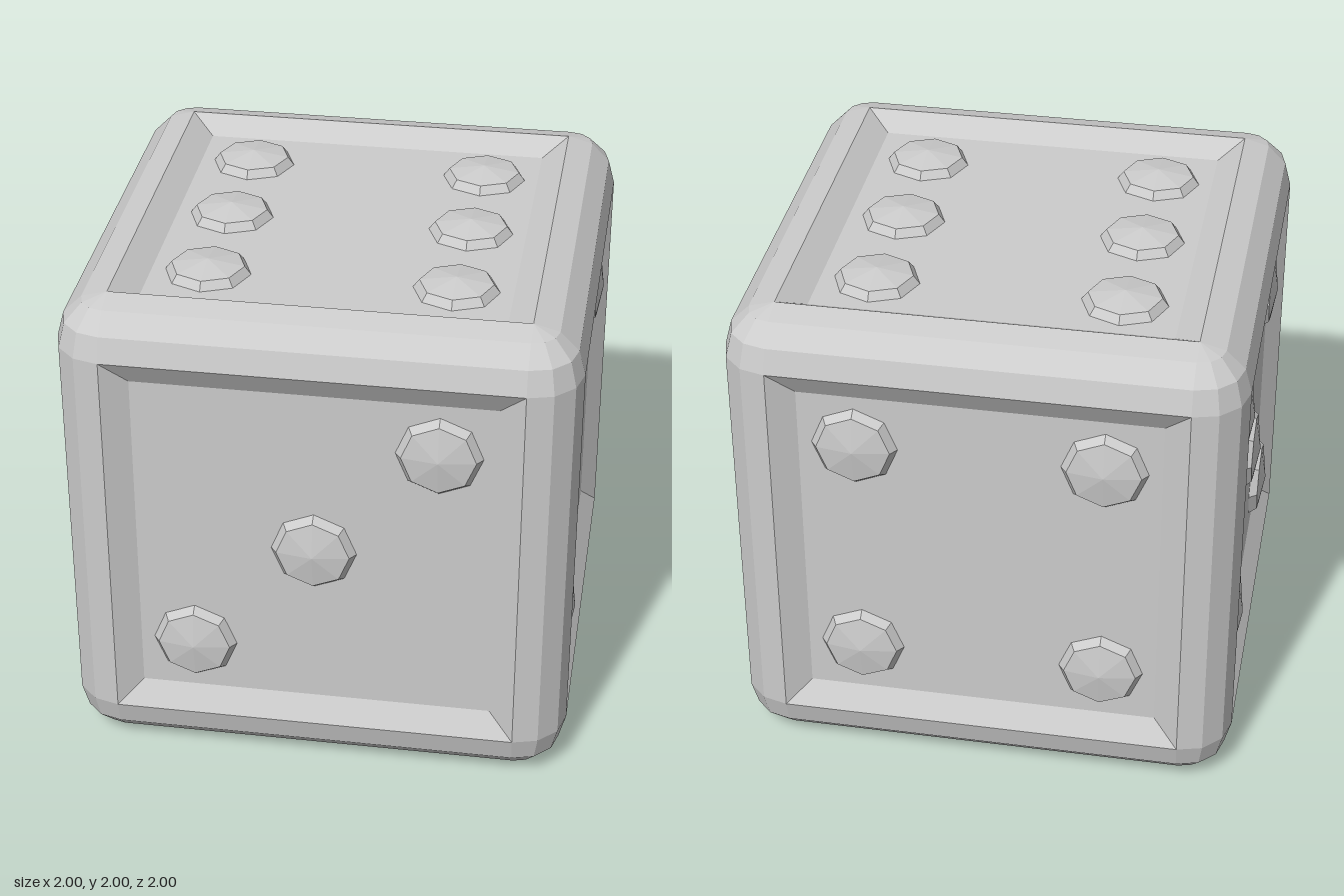
import * as THREE from 'three';

const MAT = new THREE.MeshStandardMaterial({ color: 0xcccccc, flatShading: true });
const FLAT = 0.8;    // half width of the flat part before rounding starts
const ROUND = 0.2;   // edge radius
const FLOOR = 0.94;  // recessed panel distance from the centre
const P = 0.48;      // pip spacing
const Q = Math.PI / 2;

function add(parent, name, geometry, x = 0, y = 0, z = 0) {
  const mesh = new THREE.Mesh(geometry, MAT);
  mesh.name = name;
  mesh.position.set(x, y, z);
  parent.add(mesh);
  return mesh;
}

const lathe = (points, sides, start = 0) =>
  new THREE.LatheGeometry(points.map(([r, y]) => new THREE.Vector2(r, y)), sides, start);

export function createModel() {
  const model = new THREE.Group();
  model.name = 'die';
  const die = new THREE.Group();
  die.name = 'dieBody';
  die.position.y = 1;
  model.add(die);

  // Twelve rounded edges: four along each axis
  const edgeGeo = new THREE.CylinderGeometry(ROUND, ROUND, 2 * FLAT, 3, 1, true, 0, Q);
  edgeGeo.translate(FLAT, 0, FLAT);
  for (const [rx, rz] of [[0, 0], [Q, 0], [0, Q]]) {
    const set = new THREE.Group();
    set.name = 'edgeSet';
    set.rotation.set(rx, 0, rz);
    for (let i = 0; i < 4; i++) add(set, 'roundedEdge', edgeGeo).rotation.y = i * Q;
    die.add(set);
  }

  // Eight rounded corners
  const cornerGeo = new THREE.SphereGeometry(ROUND, 3, 3, Q, Q, 0, Q);
  cornerGeo.translate(FLAT, FLAT, FLAT);
  for (const flip of [0, Math.PI]) {
    const set = new THREE.Group();
    set.name = 'cornerSet';
    set.rotation.z = flip;
    for (let i = 0; i < 4; i++) add(set, 'roundedCorner', cornerGeo).rotation.y = i * Q;
    die.add(set);
  }

  // Recessed panel with sloping walls, and a faceted pip
  const panelGeo = lathe(
    [[FLAT * Math.SQRT2, 1], [0.7 * Math.SQRT2, FLOOR], [0, FLOOR]], 4, Math.PI / 4);
  const pipGeo = lathe([[0.171, FLOOR - 0.005], [0.143, 0.973], [0, 0.996]], 8);

  // Pip layouts as [right, up] on each face
  const two = [[-P, -P], [P, P]];
  const four = [...two, [-P, P], [P, -P]];
  const faces = [
    ['topFace', 0, 0, [...four, [-P, 0], [P, 0]]],
    ['bottomFace', 2 * Q, 0, [[0, 0]]],
    ['frontFace', Q, 0, [...two, [0, 0]]],
    ['leftFace', Q, Q, two],
    ['backFace', Q, 2 * Q, four],
    ['rightFace', Q, -Q, [...four, [0, 0]]],
  ];
  for (const [name, tilt, turn, pips] of faces) {
    const face = new THREE.Group();
    face.name = name;
    face.rotation.set(tilt, turn, 0, 'YXZ');
    add(face, 'recessedPanel', panelGeo);
    for (const [u, v] of pips) add(face, 'pip', pipGeo, u, 0, -v);
    die.add(face);
  }
  return model;
}
